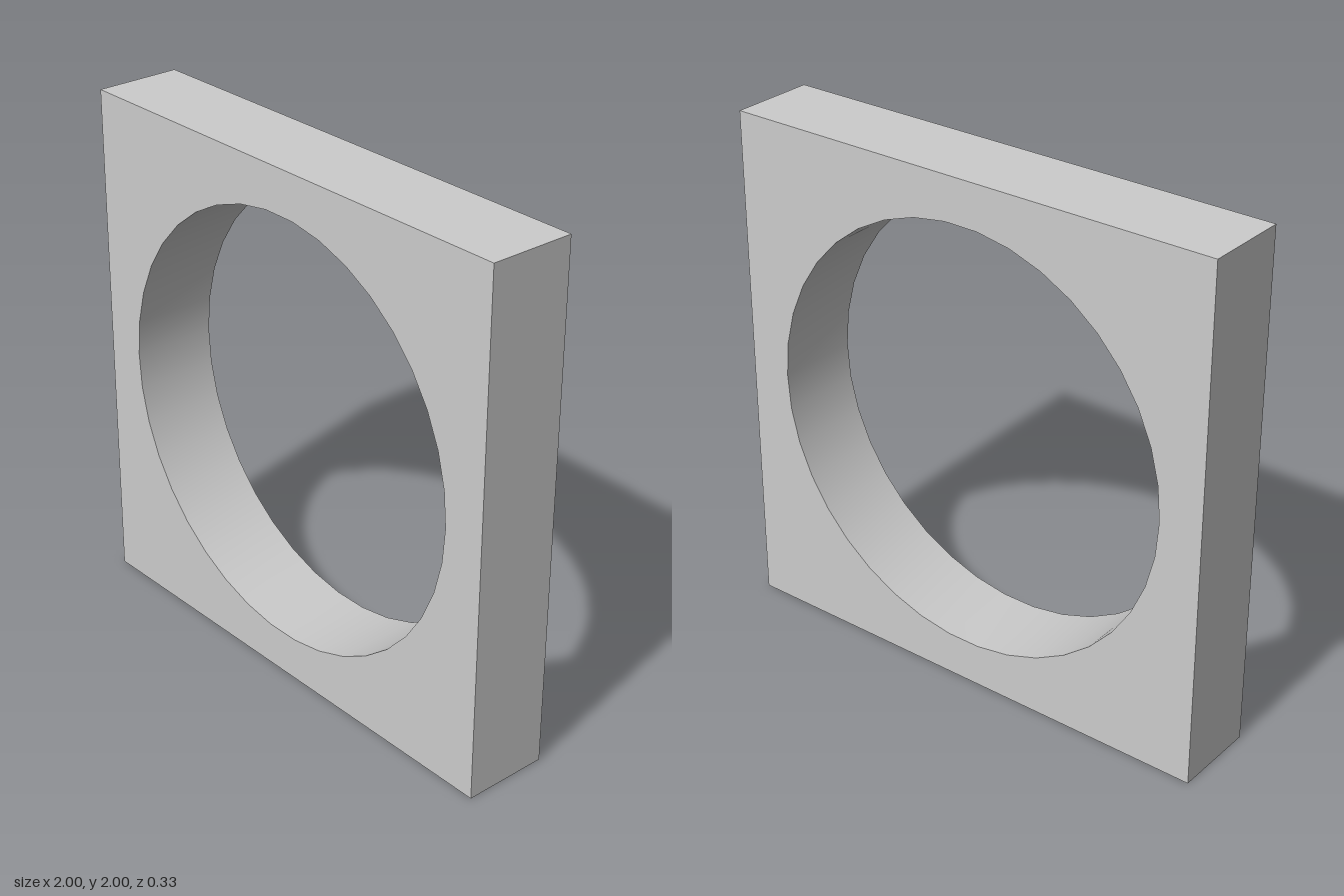
import * as THREE from 'three';
import { toCreasedNormals } from 'three/addons/utils/BufferGeometryUtils.js';

const SIZE = 2, DEPTH = 1 / 3, HOLE_RADIUS = 5 / 6, HOLE_SIDES = 38;

export function createModel() {
  const group = new THREE.Group();
  group.name = 'squarePlateWithRoundOpening';

  // Square outline
  const h = SIZE / 2;
  const outline = new THREE.Shape([
    new THREE.Vector2(-h, -h), new THREE.Vector2(h, -h),
    new THREE.Vector2(h, h), new THREE.Vector2(-h, h),
  ]);

  // Round opening, wound opposite to the outline
  const rim = Array.from({ length: HOLE_SIDES }, (_, i) => {
    const a = -i / HOLE_SIDES * Math.PI * 2;
    return new THREE.Vector2(Math.cos(a) * HOLE_RADIUS, Math.sin(a) * HOLE_RADIUS);
  });
  outline.holes.push(new THREE.Path(rim));

  // Plate: sharp outer edges, smooth bore
  const extruded = new THREE.ExtrudeGeometry(outline, { depth: DEPTH, bevelEnabled: false });
  extruded.translate(0, h, -DEPTH / 2);
  const plate = new THREE.Mesh(
    toCreasedNormals(extruded, Math.PI / 6),
    new THREE.MeshStandardMaterial({ color: 0xcccccc }),
  );
  plate.name = 'plate';
  group.add(plate);

  return group;
}
